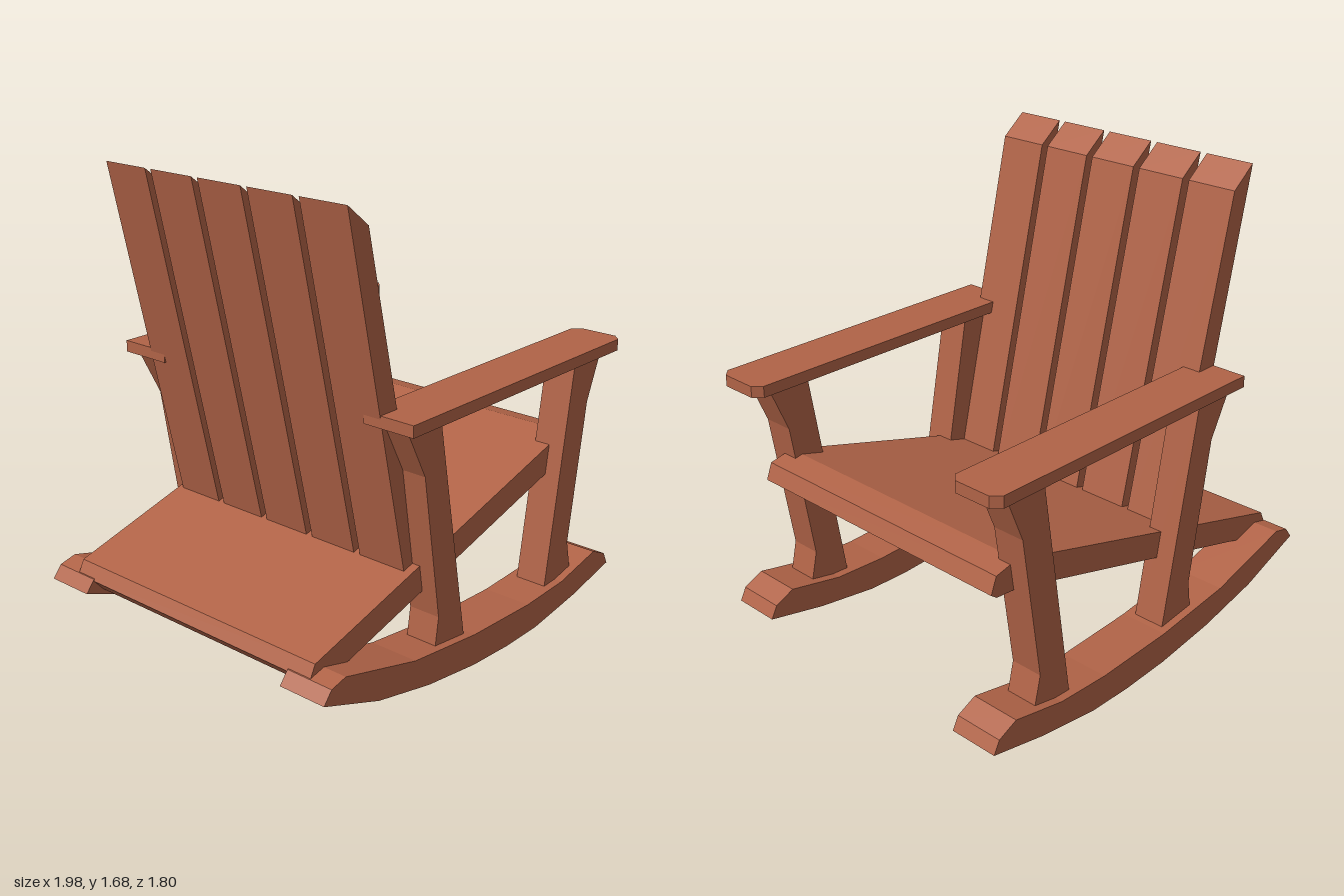
import * as THREE from 'three';

const wood = new THREE.MeshStandardMaterial({ color: 0xb06347 });
wood.name = 'redwood';

// Side profile (forward, up) extruded across the chair's width
function board(name, profile, width, across) {
  const shape = new THREE.Shape(profile.map(([x, y]) => new THREE.Vector2(x, y)));
  const geometry = new THREE.ExtrudeGeometry(shape, { depth: width, bevelEnabled: false });
  geometry.translate(0, 0, across - width / 2);
  const mesh = new THREE.Mesh(geometry, wood);
  mesh.name = name;
  return mesh;
}

const rocker = [
  [-0.81, 0.198], [-0.547, 0.1], [-0.29, 0.043], [-0.04, 0.01], [0.16, 0], [0.335, 0.003],
  [0.58, 0.038], [0.81, 0.088], [0.786, 0.135], [0.71, 0.17], [0.495, 0.125], [0.28, 0.115],
  [-0.04, 0.127], [-0.365, 0.165], [-0.71, 0.258], [-0.775, 0.242],
];
const frontLeg = [[0.42, 0.08], [0.6, 0.08], [0.594, 0.13], [0.567, 0.25], [0.648, 0.78], [0.723, 0.96], [0.556, 0.96]];
const backLeg = [[-0.055, 0.08], [-0.22, 0.96], [-0.39, 0.96], [-0.296, 0.78], [-0.208, 0.25], [-0.225, 0.13], [-0.23, 0.08]];
const seat = [
  [-0.735, 0.19], [0.6, 0.56], [0.69, 0.567], [0.715, 0.585], [0.692, 0.645], [0.6, 0.665],
  [-0.75, 0.285], [-0.775, 0.235],
];
const slat = [[-0.272, 0.37], [-0.184, 0.37], [-0.472, 1.605], [-0.567, 1.68]];

export function createModel() {
  const chair = new THREE.Group();
  chair.name = 'rockingChair';

  chair.add(board('seat', seat, 1.11, 0.005));

  // Five upright back slats with narrow gaps
  for (let i = -2; i <= 2; i++) chair.add(board('backSlat', slat, 0.19, i * 0.217));

  // Rocker, legs and armrest on each side
  for (const side of [-1, 1]) {
    const middle = side * 0.56;
    chair.add(board('rocker', rocker, 0.184, side * 0.558));
    chair.add(board('frontLeg', frontLeg, 0.12, middle));
    chair.add(board('backLeg', backLeg, 0.12, middle));

    // Armrest outline lies flat, with clipped front corners
    const arm = board('armrest', [
      [-0.41, -0.1], [0.77, -0.1], [0.8, -0.07], [0.8, 0.07], [0.77, 0.1], [-0.41, 0.1],
    ], 0.042, 0);
    arm.rotation.x = Math.PI / 2;
    arm.position.set(0, 0.974, middle);
    chair.add(arm);
  }

  // The chair stands turned on its base
  chair.rotation.y = 0.376;
  const model = new THREE.Group();
  model.name = 'model';
  model.add(chair);
  return model;
}
